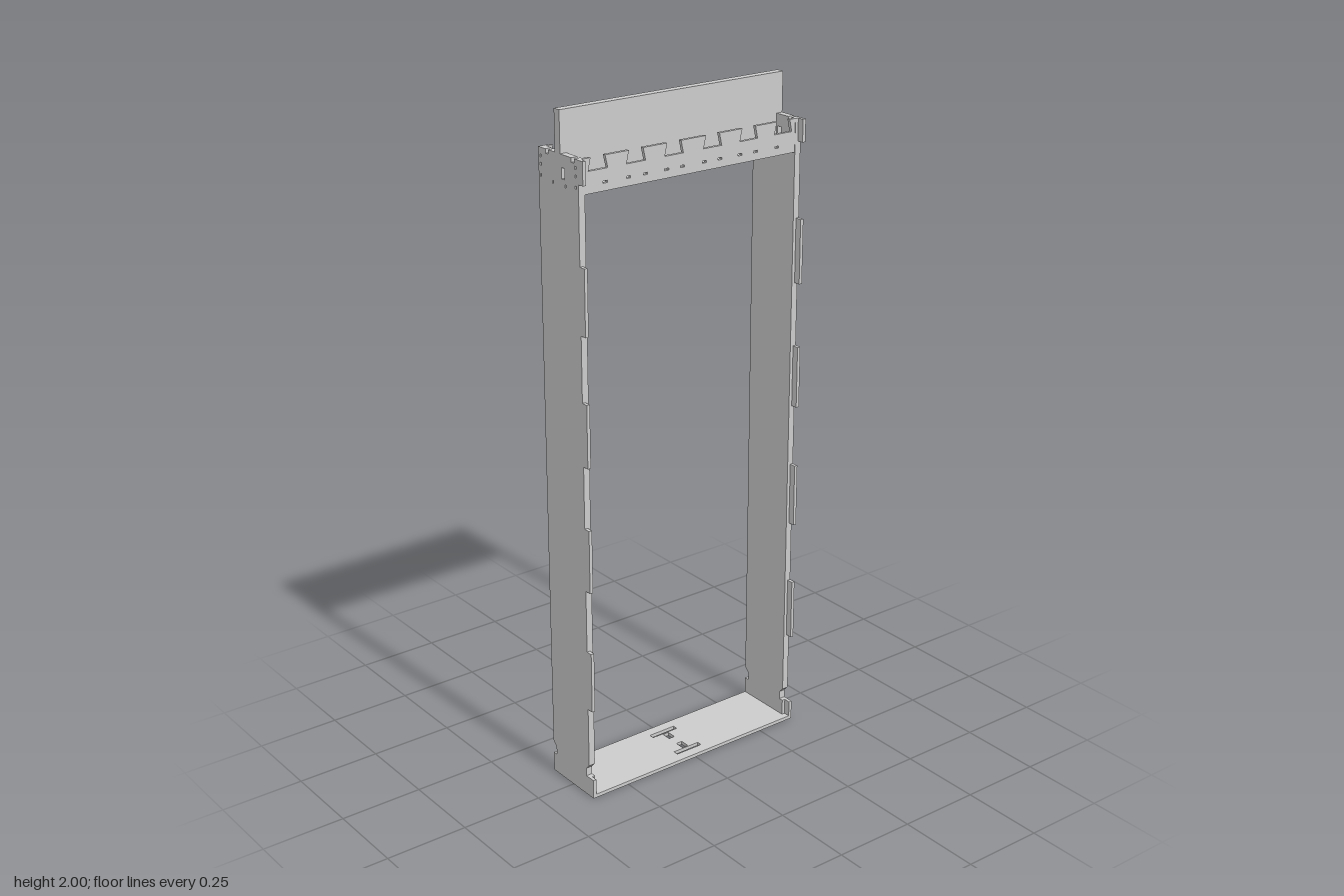
import * as THREE from 'three';

const mat = new THREE.MeshStandardMaterial({ color: 0xcccccc, flatShading: true });

const polygon = (pts) => new THREE.Shape(pts.map(([a, b]) => new THREE.Vector2(a, b)));

function rectHole(shape, x, y, w, h) {
  const p = new THREE.Path();
  p.moveTo(x - w / 2, y - h / 2);
  p.lineTo(x - w / 2, y + h / 2);
  p.lineTo(x + w / 2, y + h / 2);
  p.lineTo(x + w / 2, y - h / 2);
  p.closePath();
  shape.holes.push(p);
}

const sheet = (shape, depth) => new THREE.ExtrudeGeometry(shape, { depth, bevelEnabled: false });

function add(group, name, geometry) {
  const mesh = new THREE.Mesh(geometry, mat);
  mesh.name = name;
  group.add(mesh);
  return mesh;
}

function box(group, name, x0, x1, y0, y1, z0, z1) {
  const m = add(group, name, new THREE.BoxGeometry(x1 - x0, y1 - y0, z1 - z0));
  m.position.set((x0 + x1) / 2, (y0 + y1) / 2, (z0 + z1) / 2);
}

// Upright drawn in (z, y), with a slot at the top for the header panel
function sideShape() {
  const s = polygon([
    [-0.1, 0], [0.08, 0], [0.08, 0.06], [0.066, 0.06], [0.066, 0.085], [0.08, 0.1],
    [0.08, 1.885], [0.062, 1.885], [0.062, 1.873], [0.05, 1.873], [0.05, 1.885],
    [0, 1.885], [0, 1.84], [-0.024, 1.84], [-0.024, 1.885],
    [-0.055, 1.885], [-0.055, 1.873], [-0.067, 1.873], [-0.067, 1.885],
    [-0.1, 1.885], [-0.1, 0.1], [-0.085, 0.085], [-0.085, 0.06], [-0.1, 0.06],
  ]);
  rectHole(s, 0.012, 1.835, 0.014, 0.03);
  for (const z of [0.068, -0.09]) for (const y of [1.81, 1.84, 1.862]) rectHole(s, z, y, 0.006, 0.008);
  for (const z of [0.022, -0.035]) rectHole(s, z, 1.803, 0.006, 0.008);
  return s;
}

// Beam face with a row of dovetail notches along its upper edge
function beamShape() {
  const pts = [[-0.355, 1.79], [0.355, 1.79], [0.355, 1.885]];
  for (const x of [0.312, 0.19, 0.065, -0.065, -0.19, -0.312])
    pts.push([x + 0.023, 1.885], [x + 0.031, 1.85], [x - 0.031, 1.85], [x - 0.023, 1.885]);
  pts.push([-0.355, 1.885]);
  const s = polygon(pts);
  for (const x of [0.29, 0.215, 0.16, 0.09, 0.037])
    for (const side of [-1, 1]) rectHole(s, side * x, 1.814, 0.014, 0.006);
  return s;
}

export function createModel() {
  const model = new THREE.Group();
  model.name = 'doorFrame';

  // Uprights with tabs along the front edge
  const tabs = [[0, 0.06], [0.285, 0.47], [0.66, 0.85], [1.035, 1.22], [1.41, 1.6], [1.82, 1.885]];
  for (const side of [-1, 1]) {
    const upright = new THREE.Group();
    upright.name = side > 0 ? 'leftUpright' : 'rightUpright';
    const g = sheet(sideShape(), 0.02);
    g.rotateY(-Math.PI / 2);
    g.translate(side > 0 ? 0.375 : -0.355, 0, 0);
    add(upright, 'uprightPanel', g);
    const x0 = side > 0 ? 0.365 : -0.375;
    for (const [y0, y1] of tabs) box(upright, 'frontTab', x0, x0 + 0.01, y0, y1, 0.08, 0.1);
    model.add(upright);
  }

  // Top beam: front and back faces around a horizontal plate
  for (const [name, z] of [['beamFront', 0.069], ['beamBack', -0.1]]) {
    const g = sheet(beamShape(), 0.01);
    g.translate(0, 0, z);
    add(model, name, g);
  }
  const shelf = polygon([[-0.355, -0.069], [0.355, -0.069], [0.355, 0.09], [-0.355, 0.09]]);
  for (const side of [-1, 1])
    for (const y of [-0.065, 0.086]) rectHole(shelf, side * 0.037, y, 0.007, 0.006);
  const shelfGeo = sheet(shelf, 0.012);
  shelfGeo.rotateX(-Math.PI / 2);
  shelfGeo.translate(0, 1.795, 0);
  add(model, 'beamPlate', shelfGeo);

  // Header panel standing in the upright slots
  const header = sheet(polygon([
    [-0.355, 1.807], [0.355, 1.807], [0.355, 1.84], [0.375, 1.84],
    [0.375, 2], [-0.375, 2], [-0.375, 1.84], [-0.355, 1.84],
  ]), 0.024);
  header.translate(0, 0, -0.024);
  add(model, 'headerPanel', header);

  // Sill with connector slots in the middle, drawn in (x, -z)
  const sill = polygon([
    [-0.365, -0.1], [0.365, -0.1], [0.365, -0.08], [0.355, -0.08],
    [0.355, 0.1], [-0.355, 0.1], [-0.355, -0.08], [-0.365, -0.08],
  ]);
  for (const y of [-0.06, 0.06]) {
    rectHole(sill, 0, y, 0.09, 0.016);
    rectHole(sill, 0, y * 0.55, 0.02, 0.03);
  }
  const sillGeo = sheet(sill, 0.011);
  sillGeo.rotateX(-Math.PI / 2);
  add(model, 'sill', sillGeo);

  return model;
}
